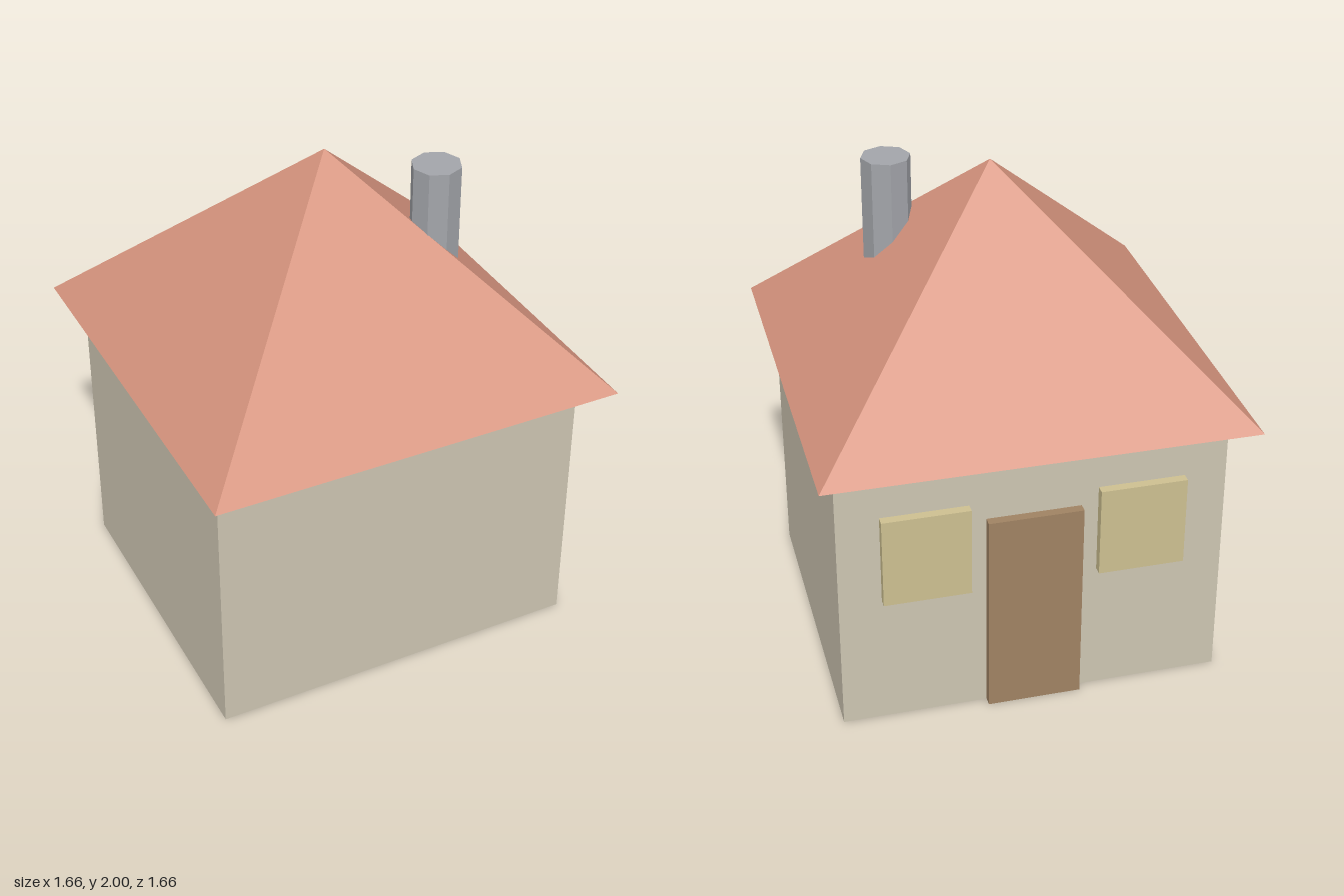
import * as THREE from 'three';

export function createModel() {
  const house = new THREE.Group();
  house.name = 'house';

  const material = (name, color) => {
    const m = new THREE.MeshStandardMaterial({ color });
    m.name = name;
    return m;
  };
  const plaster = material('plaster', 0xcdc5b2);
  const roofTile = material('roof tile', 0xd6947e);
  const wood = material('door wood', 0xa08363);
  const pane = material('window yellow', 0xcdc091);
  const stone = material('chimney grey', 0xa3a5aa);

  const add = (name, geometry, mat, x, y, z) => {
    const mesh = new THREE.Mesh(geometry, mat);
    mesh.name = name;
    mesh.position.set(x, y, z);
    house.add(mesh);
    return mesh;
  };

  // Faceted prism or pyramid with one normal per face
  const faceted = (top, bottom, height, sides) => {
    const g = new THREE.CylinderGeometry(top, bottom, height, sides).toNonIndexed();
    g.computeVertexNormals();
    return g;
  };

  // Walls
  const wallHeight = 1.16, wallDepth = 1.33;
  add('walls', new THREE.BoxGeometry(1.51, wallHeight, wallDepth), plaster, 0, wallHeight / 2, 0);

  // Square pyramid roof with overhanging eaves
  const roofHeight = 2 - wallHeight;
  const roof = faceted(0, 0.83 * Math.SQRT2, roofHeight, 4);
  roof.rotateY(Math.PI / 4);
  add('roof', roof, roofTile, 0, wallHeight + roofHeight / 2, 0);

  // Eight-sided chimney, sunk into the roof
  const chimneyHeight = 0.56;
  add('chimney', faceted(0.097, 0.097, chimneyHeight, 8), stone, 0.354, 1.96 - chimneyHeight / 2, 0.22);

  // Door and windows stand slightly proud of the back wall
  const relief = 0.037;
  const z = -wallDepth / 2 - relief / 2;
  add('door', new THREE.BoxGeometry(0.37, 0.85, relief), wood, 0, 0.425, z);
  for (const [side, name] of [[1, 'leftWindow'], [-1, 'rightWindow']]) {
    add(name, new THREE.BoxGeometry(0.34, 0.37, relief), pane, side * 0.42, 0.735, z);
  }

  return house;
}
